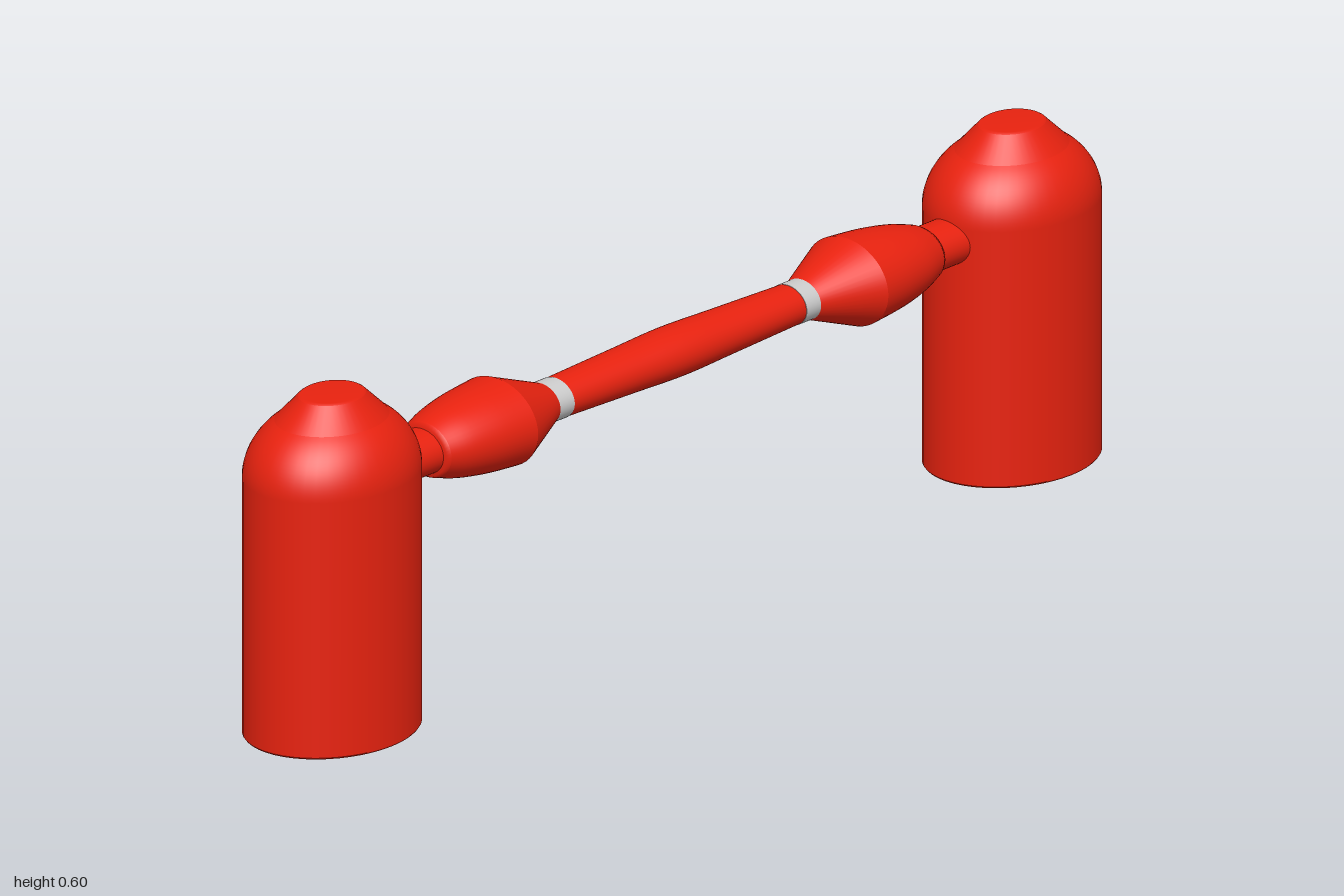
import * as THREE from 'three';
import { mergeGeometries } from 'three/addons/utils/BufferGeometryUtils.js';

const red = new THREE.MeshStandardMaterial({ color: 0xe8220f });
const grey = new THREE.MeshStandardMaterial({ color: 0xcccccc });
const BAR_Y = 0.43;
const BAR_FLATTEN = 0.82;

// Revolve several [radius, height] runs; edges between runs stay sharp.
function turned(runs) {
  return mergeGeometries(runs.map((run) =>
    new THREE.LatheGeometry(run.map(([r, h]) => new THREE.Vector2(r, h)), 48)));
}

// Sample a smooth curve through profile points.
function smooth(points, n = 14) {
  const curve = new THREE.SplineCurve(points.map(([r, h]) => new THREE.Vector2(r, h)));
  return curve.getPoints(n).map((p) => [p.x, p.y]);
}

function part(name, geometry, material) {
  const mesh = new THREE.Mesh(geometry, material);
  mesh.name = name;
  return mesh;
}

// Bar parts run along z with a slightly flattened oval section.
function barPart(name, runs, material) {
  const geometry = turned(runs);
  geometry.rotateX(Math.PI / 2);
  geometry.scale(1, BAR_FLATTEN, 1);
  geometry.translate(0, BAR_Y, 0);
  return part(name, geometry, material);
}

// Oval upright post with a rounded shoulder and a sloped cap.
function makePost() {
  const shoulder = [];
  for (let i = 0; i <= 16; i++) {
    const a = (i / 16) * 0.878;
    shoulder.push([Math.cos(a), 0.46 + 0.127 * Math.sin(a)]);
  }
  const geometry = turned([
    [[0, 0], [0.985, 0]],
    [[0.985, 0], [1, 0.003]],
    [[1, 0.003], [1, 0.46], ...shoulder.slice(1)],
    [[0.639, 0.5577], [0.38, 0.598]],
    [[0.38, 0.598], [0.35, 0.601], [0, 0.601]],
  ]);
  geometry.scale(0.137, 1, 0.165);
  geometry.translate(0, 0, 0.835);
  return part('post', geometry, red);
}

export function createModel() {
  const model = new THREE.Group();
  model.name = 'postsWithBar';

  // Centre grip, slightly swollen in the middle
  model.add(barPart('grip', [
    smooth([[0.042, -0.288], [0.048, -0.12], [0.052, 0], [0.048, 0.12], [0.042, 0.288]], 20),
  ], red));

  // Matching ends: ring, bulge, neck and post
  for (const [side, angle] of [['front', 0], ['back', Math.PI]]) {
    const end = new THREE.Group();
    end.name = side + 'End';
    end.rotation.y = angle;
    end.add(
      barPart('ring', [
        [[0.03, 0.285], [0.043, 0.285]],
        [[0.043, 0.285], [0.043, 0.32]],
        [[0.043, 0.32], [0.03, 0.32]],
      ], grey),
      barPart('bulge', [
        [[0.043, 0.32], [0.094, 0.43]],
        smooth([[0.094, 0.43], [0.087, 0.5], [0.075, 0.56], [0.059, 0.605]]),
        [[0.059, 0.605], [0.054, 0.613], [0.03, 0.613]],
      ], red),
      barPart('neck', [[[0.048, 0.6], [0.048, 0.7]]], red),
      makePost(),
    );
    model.add(end);
  }
  return model;
}
